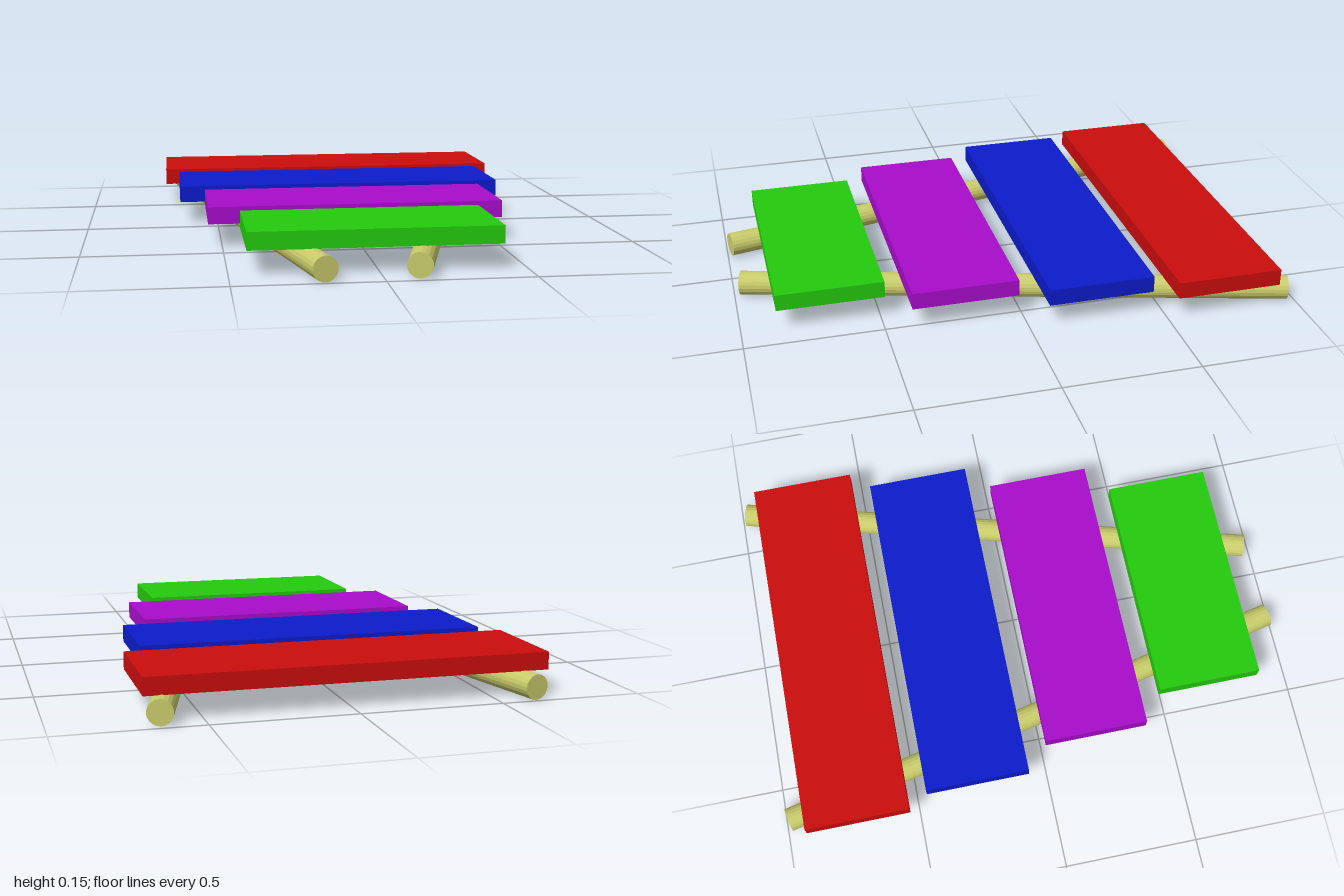
import * as THREE from 'three';

export function createModel() {
  const group = new THREE.Group();
  group.name = 'xylophone';

  // Sounding bars: name, color, left and right edges in x, centre in z
  const bars = [
    ['redBar', 0xcc0d0d, -0.7, 0.695, -0.728],
    ['blueBar', 0x0d1ccc, -0.645, 0.627, -0.266],
    ['purpleBar', 0xa80dcc, -0.55, 0.53, 0.21],
    ['greenBar', 0x24cc0d, -0.44, 0.42, 0.678],
  ];
  for (const [name, color, x0, x1, z] of bars) {
    const bar = new THREE.Mesh(
      new THREE.BoxGeometry(x1 - x0, 0.062, 0.39),
      new THREE.MeshStandardMaterial({ color })
    );
    bar.name = name;
    bar.position.set((x0 + x1) / 2, 0.117, z);
    group.add(bar);
  }

  // Two round rails that converge towards the front
  const radius = 0.044;
  const railMaterial = new THREE.MeshStandardMaterial({ color: 0xc9cc6b, flatShading: true });
  const addRail = (name, backX, backZ, frontX, frontZ) => {
    const back = new THREE.Vector3(backX, radius, backZ);
    const front = new THREE.Vector3(frontX, radius, frontZ);
    const direction = front.clone().sub(back);
    const rail = new THREE.Mesh(
      new THREE.CylinderGeometry(radius, radius, direction.length(), 20),
      railMaterial
    );
    rail.name = name;
    rail.position.copy(back).add(front).multiplyScalar(0.5);
    rail.quaternion.setFromUnitVectors(new THREE.Vector3(0, 1, 0), direction.normalize());
    group.add(rail);
  };
  addRail('rightRail', -0.628, -0.988, -0.195, 0.986);
  addRail('leftRail', 0.65, -0.976, 0.114, 0.973);

  return group;
}
